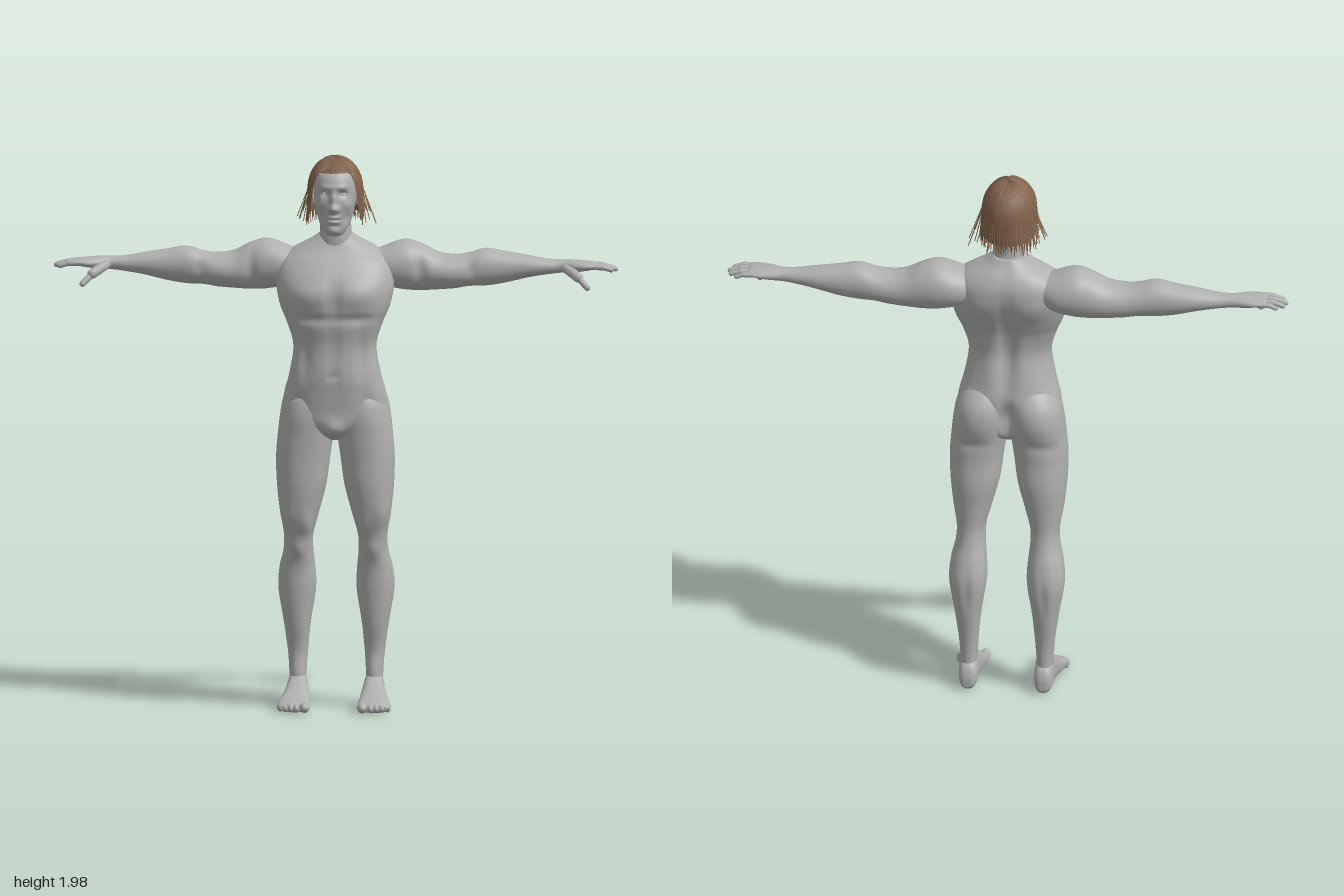
import * as THREE from 'three';
import { mergeGeometries } from 'three/addons/utils/BufferGeometryUtils.js';

const skin = new THREE.MeshStandardMaterial({ color: 0xb0b0b0 });
skin.name = 'grey skin';
const brown = new THREE.MeshStandardMaterial({ color: 0x80624a, side: THREE.DoubleSide });
brown.name = 'brown hair';
const pale = new THREE.MeshStandardMaterial({ color: 0xd2d2d2 });
pale.name = 'pale eyes';

// Soft muscle bumps: [x, y, z, spreadX, spreadY, spreadZ, moveX, moveY, moveZ]
function applyBumps(p, bumps) {
  const o = p.slice();
  for (const b of bumps) {
    let e = 0;
    for (let k = 0; k < 3; k++) e += ((o[k] - b[k]) / b[k + 3]) ** 2;
    const w = Math.exp(-e);
    for (let k = 0; k < 3; k++) p[k] += w * b[k + 6];
  }
  return p;
}
const pair = (...b) => [b, [-b[0], ...b.slice(1, 6), -b[6], b[7], b[8]]];

// Smooth loft through rows [t, aMin, aMax, bMin, bMax].
// Axis y: a = x, b = z.  Axis x: a = z, b = y.  Axis z: a = y, b = x.
function loft(axis, rows, { n = 2.2, seg = 40, sub = 6, bumps = [] } = {}) {
  const place = {
    y: (t, a, b) => [a, t, b], x: (t, a, b) => [t, b, a], z: (t, a, b) => [b, a, t],
  }[axis];
  const cr = (p, q, r, s, u) => 0.5 * (2 * q + (r - p) * u + (2 * p - 5 * q + 4 * r - s) * u * u
    + (3 * q - p - 3 * r + s) * u * u * u);
  const at = i => rows[Math.min(Math.max(i, 0), rows.length - 1)];
  const rings = [];
  for (let i = 0; i < rows.length - 1; i++)
    for (let k = 0; k < sub; k++)
      rings.push(rows[i].map((_, c) => cr(at(i - 1)[c], at(i)[c], at(i + 1)[c], at(i + 2)[c], k / sub)));
  rings.push(rows[rows.length - 1]);
  const pos = [], idx = [];
  const add = p => pos.push(...applyBumps(p, bumps));
  const pw = v => Math.sign(v) * Math.abs(v) ** (2 / n);
  for (const [t, a0, a1, b0, b1] of rings)
    for (let j = 0; j < seg; j++) {
      const q = j / seg * Math.PI * 2;
      add(place(t, (a0 + a1) / 2 + (a1 - a0) / 2 * pw(Math.cos(q)),
        (b0 + b1) / 2 + (b1 - b0) / 2 * pw(Math.sin(q))));
    }
  const last = rings.length - 1, c0 = rings.length * seg;
  for (const [t, a0, a1, b0, b1] of [rings[0], rings[last]]) add(place(t, (a0 + a1) / 2, (b0 + b1) / 2));
  for (let j = 0; j < seg; j++) {
    const j2 = (j + 1) % seg;
    for (let i = 0; i < last; i++) {
      const a = i * seg + j, b = i * seg + j2;
      idx.push(a, a + seg, b, b, a + seg, b + seg);
    }
    idx.push(c0, j, j2, c0 + 1, last * seg + j2, last * seg + j);
  }
  return finish(pos, idx);
}
function finish(pos, idx) {
  const g = new THREE.BufferGeometry();
  g.setAttribute('position', new THREE.Float32BufferAttribute(pos, 3));
  g.setIndex(idx);
  g.computeVertexNormals();
  return g;
}
const sym = rows => rows.map(([y, w, z0, z1]) => [y, -w, w, z0, z1]);

// Rounded segment between two points
function bone(a, b, r) {
  const A = new THREE.Vector3(...a), d = new THREE.Vector3(...b).sub(A);
  const g = new THREE.CapsuleGeometry(r, d.length(), 5, 12);
  g.applyQuaternion(new THREE.Quaternion().setFromUnitVectors(new THREE.Vector3(0, 1, 0), d.clone().normalize()));
  return g.translate(...A.addScaledVector(d, 0.5).toArray());
}
function ball(x, y, z, sx, sy, sz) {
  return new THREE.SphereGeometry(1, 16, 12).scale(sx, sy, sz).translate(x, y, z);
}
function mirrored(g) {
  const m = g.clone().scale(-1, 1, 1), ix = m.index.array;
  for (let i = 0; i < ix.length; i += 3) [ix[i], ix[i + 1]] = [ix[i + 1], ix[i]];
  m.computeVertexNormals();
  return m;
}

// Hair falls from the crown over the skull, then hangs; theta = 0 is the front
const smooth = THREE.MathUtils.smoothstep;
const hairLength = th => 0.098 + 0.185 * smooth(Math.abs(th), 0.75, 1.35);
function hairPoint(th, d, lift, flare) {
  const arc = 0.16, f = Math.min(d / arc, 1) * Math.PI / 2, down = Math.max(d - arc, 0);
  const r = Math.sin(f) * (1 + flare * down);
  return [(0.091 + lift) * r * Math.sin(th), 1.86 + (0.107 + lift) * Math.cos(f) - down,
    -0.002 + (0.118 + lift) * r * Math.cos(th)];
}
function hairGeometry() {
  let seed = 7;
  const rnd = () => (seed = (seed * 16807) % 2147483647) / 2147483647;
  const pos = [], idx = [];
  const strip = (n, m, fn) => {
    const o = pos.length / 3;
    for (let i = 0; i <= n; i++) for (let j = 0; j <= m; j++) pos.push(...fn(i / n, j / m));
    for (let i = 0; i < n; i++) for (let j = 0; j < m; j++) {
      const a = o + i * (m + 1) + j, b = a + m + 1;
      idx.push(a, b, a + 1, a + 1, b, b + 1);
    }
  };
  // under layer
  strip(14, 72, (s, u) => {
    const th = (u * 2 - 1) * Math.PI;
    return hairPoint(th, s * (hairLength(th) - 0.03 * smooth(Math.abs(th), 0.9, 1.4)), 0, 0.2);
  });
  // loose locks
  for (let k = 0; k < 240; k++) {
    const th = (k / 240 * 2 - 1) * Math.PI + (rnd() - 0.5) * 0.05;
    const len = hairLength(th) * (0.86 + 0.18 * rnd()), lift = 0.001 + 0.005 * rnd();
    const flare = 0.2 + 4.5 * rnd() ** 4 * Math.abs(Math.sin(th)), drift = (rnd() - 0.5) * 0.25;
    strip(12, 2, (s, u) => {
      const half = 0.06 * (1 - s ** 3) + 0.003;
      return hairPoint(th + drift * s * s + (u * 2 - 1) * half, s * len, lift + (u === 0.5 ? 0.002 : 0), flare);
    });
  }
  return finish(pos, idx);
}

export function createModel() {
  const model = new THREE.Group();
  model.name = 'figure';
  const put = (name, geo, mat = skin) => {
    const m = new THREE.Mesh(geo, mat);
    m.name = name;
    model.add(m);
  };
  const both = (name, geo, mat) => {
    put('left' + name, geo, mat);
    put('right' + name, mirrored(geo), mat);
  };

  put('torso', loft('y', sym([
    [0.965, 0.02, -0.05, 0.06], [0.99, 0.07, -0.09, 0.095], [1.03, 0.16, -0.105, 0.11],
    [1.08, 0.185, -0.108, 0.115], [1.14, 0.178, -0.108, 0.122], [1.2, 0.162, -0.095, 0.128],
    [1.3, 0.147, -0.075, 0.125], [1.38, 0.168, -0.088, 0.137], [1.44, 0.193, -0.112, 0.143],
    [1.5, 0.207, -0.138, 0.142], [1.55, 0.208, -0.152, 0.125], [1.6, 0.195, -0.154, 0.09],
    [1.64, 0.15, -0.14, 0.055], [1.675, 0.085, -0.115, 0.035], [1.7, 0.05, -0.1, 0.02]]), {
    n: 2.4, seg: 72, sub: 8, bumps: [
      ...pair(0.09, 1.49, 0.14, 0.07, 0.045, 0.07, 0, 0, 0.012),      // chest
      ...pair(0.08, 1.405, 0.14, 0.07, 0.018, 0.06, 0, 0, -0.009),
      [0, 1.48, 0.14, 0.014, 0.07, 0.06, 0, 0, -0.012],
      [0, 1.28, 0.13, 0.012, 0.11, 0.05, 0, 0, -0.006],               // belly
      ...pair(0.1, 1.27, 0.11, 0.022, 0.1, 0.05, 0, 0, -0.01),
      [0, 1.2, 0.13, 0.012, 0.012, 0.05, 0, 0, -0.008],
      ...pair(0.12, 1.1, 0.1, 0.02, 0.04, 0.05, 0, 0, -0.008),
      [0, 1.01, 0.1, 0.03, 0.03, 0.05, 0, 0, 0.018],                  // groin
      [0, 1.38, -0.11, 0.022, 0.2, 0.07, 0, 0, 0.022],                // spine
      [0, 1.07, -0.11, 0.02, 0.06, 0.06, 0, 0, 0.03],
      ...pair(0.06, 1.27, -0.08, 0.035, 0.1, 0.05, 0, 0, -0.008),
      ...pair(0.1, 1.52, -0.14, 0.05, 0.06, 0.06, 0, 0, -0.008)],
  }));

  put('neck', loft('y', sym([[1.6, 0.075, -0.12, 0.035], [1.65, 0.064, -0.105, 0.044],
    [1.7, 0.056, -0.088, 0.046], [1.76, 0.055, -0.085, 0.04]])));

  put('head', loft('y', sym([
    [1.695, 0.018, 0.045, 0.075], [1.705, 0.034, 0.015, 0.092], [1.74, 0.055, -0.05, 0.103],
    [1.78, 0.067, -0.08, 0.107], [1.82, 0.074, -0.095, 0.109], [1.86, 0.077, -0.1, 0.112],
    [1.9, 0.075, -0.1, 0.105], [1.93, 0.062, -0.085, 0.082], [1.95, 0.04, -0.05, 0.05],
    [1.957, 0.01, -0.01, 0.01]]), {
    n: 2.2, seg: 96, sub: 10, bumps: [
      [0, 1.798, 0.11, 0.013, 0.014, 0.04, 0, 0, 0.03],               // nose
      [0, 1.83, 0.11, 0.011, 0.025, 0.04, 0, 0, 0.015],
      ...pair(0.014, 1.795, 0.11, 0.008, 0.009, 0.04, 0, 0, 0.008),
      ...pair(0.031, 1.849, 0.105, 0.018, 0.013, 0.04, 0, 0, -0.014), // eye sockets
      ...pair(0.03, 1.873, 0.105, 0.025, 0.01, 0.04, 0, 0, 0.006),
      ...pair(0.048, 1.81, 0.09, 0.018, 0.018, 0.04, 0.002, 0, 0.006),
      ...pair(0.048, 1.76, 0.08, 0.02, 0.022, 0.04, -0.004, 0, -0.006),
      [0, 1.765, 0.105, 0.02, 0.006, 0.04, 0, 0, 0.008],              // lips
      [0, 1.757, 0.105, 0.024, 0.003, 0.04, 0, 0, -0.006],
      [0, 1.749, 0.105, 0.017, 0.006, 0.04, 0, 0, 0.008],
      [0, 1.735, 0.105, 0.025, 0.006, 0.04, 0, 0, -0.004],
      [0, 1.715, 0.095, 0.022, 0.012, 0.04, 0, 0, 0.007]],
  }));
  both('Ear', ball(0.078, 1.825, -0.005, 0.008, 0.03, 0.018));
  both('Eye', ball(0.031, 1.849, 0.083, 0.013, 0.008, 0.011), pale);
  put('hair', hairGeometry(), brown);

  both('Arm', loft('x', [
    [0.1, -0.11, 0.01, 1.54, 1.62], [0.17, -0.148, 0.03, 1.505, 1.645], [0.24, -0.156, 0.03, 1.49, 1.668],
    [0.3, -0.15, 0.022, 1.487, 1.655], [0.36, -0.14, 0.014, 1.49, 1.625], [0.42, -0.134, 0.012, 1.495, 1.616],
    [0.47, -0.13, 0.006, 1.503, 1.622], [0.53, -0.126, 0, 1.505, 1.638], [0.6, -0.122, -0.008, 1.516, 1.627],
    [0.68, -0.112, -0.016, 1.535, 1.614], [0.75, -0.098, -0.025, 1.547, 1.602], [0.8, -0.092, -0.03, 1.553, 1.6],
    [0.84, -0.097, -0.012, 1.555, 1.6], [0.88, -0.102, 0.001, 1.561, 1.597], [0.91, -0.1, 0, 1.567, 1.594],
    [0.925, -0.092, -0.01, 1.573, 1.589]], {
    n: 2.1, bumps: [
      [0.3, 1.57, 0.02, 0.02, 0.06, 0.05, 0, 0, -0.01],               // deltoid edge
      [0.38, 1.55, 0.015, 0.05, 0.04, 0.04, 0, 0, 0.006],
      [0.48, 1.57, 0.01, 0.02, 0.03, 0.04, 0, 0, -0.006]],
  }));
  // fingers: [base z, tip x, tip z]
  const fingers = [[-0.09, 0.962, -0.092], [-0.064, 0.983, -0.069], [-0.038, 0.99, -0.043], [-0.012, 0.976, -0.014]];
  both('Fingers', mergeGeometries(fingers.flatMap(([z, tx, tz], i) => {
    const mid = [(0.9 + tx) / 2 + 0.008, 1.579, (z + tz) / 2], r = i ? 0.0105 : 0.009;
    return [bone([0.89, 1.58, z], mid, r), bone(mid, [tx, 1.57, tz], r * 0.87)];
  })));
  both('Thumb', mergeGeometries([
    bone([0.815, 1.572, -0.035], [0.86, 1.545, 0.008], 0.018),
    bone([0.86, 1.545, 0.008], [0.893, 1.512, 0.029], 0.011)]));

  both('Leg', loft('y', [
    [0.05, 0.105, 0.165, -0.112, -0.015], [0.12, 0.105, 0.166, -0.112, -0.018], [0.2, 0.1, 0.172, -0.118, -0.026],
    [0.3, 0.09, 0.186, -0.135, -0.006], [0.42, 0.072, 0.205, -0.15, 0.01], [0.5, 0.074, 0.2, -0.136, 0.018],
    [0.56, 0.08, 0.186, -0.118, 0.033], [0.62, 0.079, 0.183, -0.108, 0.052], [0.7, 0.058, 0.196, -0.112, 0.08],
    [0.8, 0.032, 0.207, -0.12, 0.096], [0.9, 0.018, 0.21, -0.114, 0.101], [0.98, 0.007, 0.204, -0.122, 0.106],
    [1.05, 0.004, 0.196, -0.137, 0.11], [1.11, 0.006, 0.184, -0.131, 0.1], [1.16, 0.02, 0.155, -0.1, 0.07],
    [1.18, 0.05, 0.12, -0.07, 0.03]], {
    n: 2.2, bumps: [
      [0.13, 0.57, 0.04, 0.03, 0.03, 0.04, 0, 0, 0.008],              // knee
      [0.1, 0.66, 0.05, 0.025, 0.04, 0.04, -0.004, 0, 0.008],
      [0.17, 0.7, 0.06, 0.025, 0.05, 0.04, 0.003, 0, 0.006],
      [0.135, 0.4, -0.15, 0.01, 0.06, 0.04, 0, 0, 0.008],             // calf split
      [0.13, 0.965, -0.12, 0.08, 0.02, 0.05, 0, 0, 0.008]],
  }));
  both('Foot', loft('z', [
    [-0.132, 0.015, 0.055, 0.12, 0.15], [-0.115, 0.002, 0.095, 0.103, 0.165], [-0.06, 0, 0.125, 0.099, 0.171],
    [-0.01, 0, 0.105, 0.094, 0.176], [0.04, 0, 0.072, 0.088, 0.188], [0.09, 0, 0.046, 0.084, 0.2],
    [0.115, 0, 0.036, 0.086, 0.198], [0.125, 0.006, 0.026, 0.095, 0.19]], {
    n: 2.4, bumps: [[0.1, 0, -0.01, 0.03, 0.02, 0.05, 0, 0.012, 0]],
  }));
  both('Toes', mergeGeometries([0, 1, 2, 3, 4].map(i =>
    ball(i ? 0.112 + i * 0.0195 : 0.102, i ? 0.015 : 0.018, 0.126 - i * i * 0.0018,
      i ? 0.0115 : 0.018, i ? 0.015 : 0.018, i ? 0.022 : 0.026))));
  return model;
}
